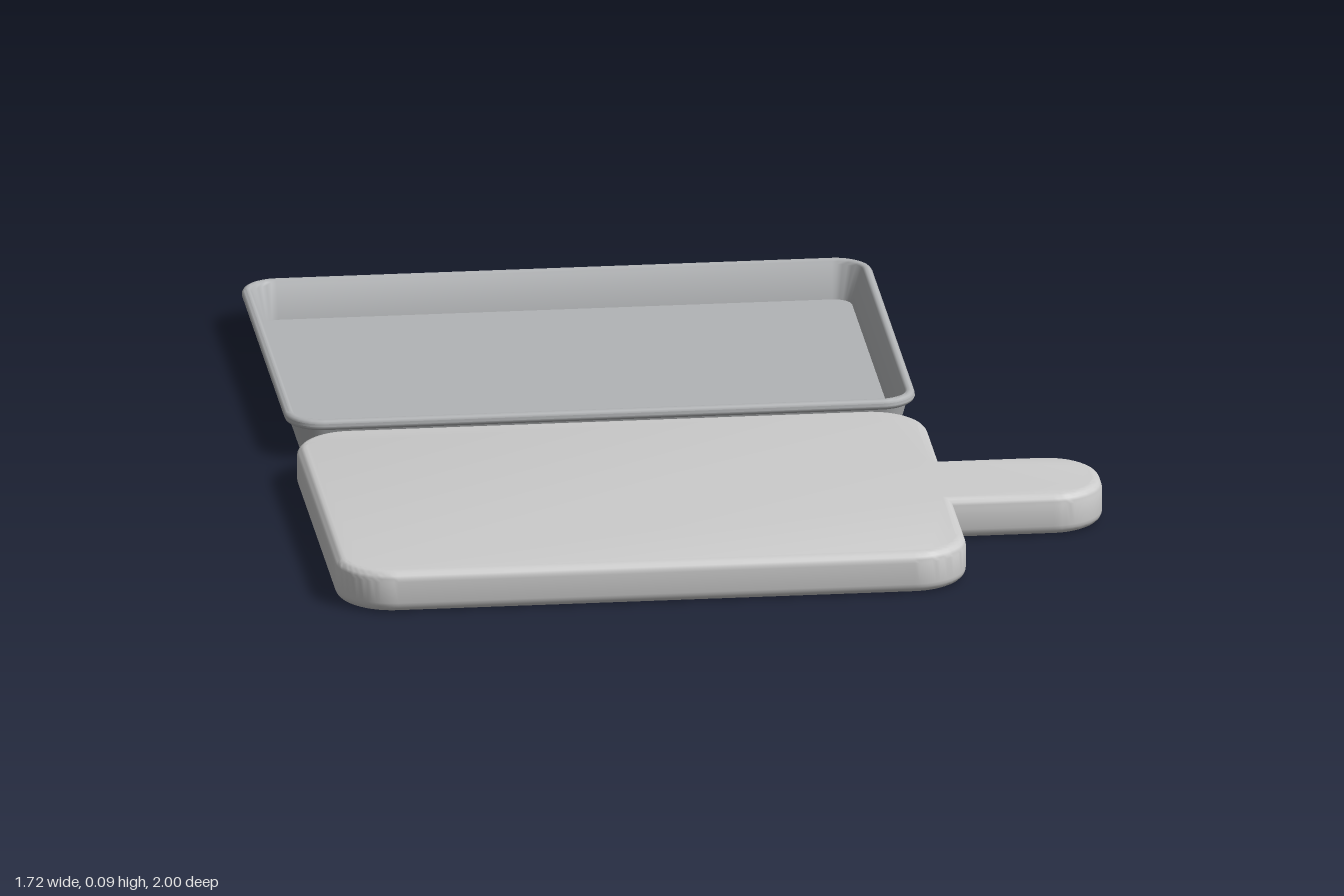
import * as THREE from 'three';
import { toCreasedNormals } from 'three/addons/utils/BufferGeometryUtils.js';

// Lofts rounded-rectangle rings; profile entries are [inset, y], closed by a centre point at each end
function loftRoundedRect(halfX, halfZ, radius, profile, arcSteps = 8) {
  const rings = profile.map(([inset, y]) => {
    const r = radius - inset * 0.9;
    const ring = [];
    [[1, 1], [-1, 1], [-1, -1], [1, -1]].forEach(([sx, sz], q) => {
      for (let k = 0; k <= arcSteps; k++) {
        const a = (q + k / arcSteps) * Math.PI / 2;
        ring.push([
          sx * (halfX - inset - r) + r * Math.cos(a), y,
          sz * (halfZ - inset - r) + r * Math.sin(a)
        ]);
      }
    });
    return ring;
  });
  const n = rings[0].length;
  const last = rings.length - 1;
  const bottom = [0, profile[0][1], 0];
  const top = [0, profile[last][1], 0];
  const pos = [];
  const tri = (a, b, c) => pos.push(...a, ...b, ...c);
  for (let j = 0; j < n; j++) {
    const m = (j + 1) % n;
    tri(bottom, rings[0][j], rings[0][m]);
    for (let i = 0; i < last; i++) {
      tri(rings[i][j], rings[i + 1][j], rings[i][m]);
      tri(rings[i + 1][j], rings[i + 1][m], rings[i][m]);
    }
    tri(rings[last][j], top, rings[last][m]);
  }
  const geometry = new THREE.BufferGeometry();
  geometry.setAttribute('position', new THREE.Float32BufferAttribute(pos, 3));
  return toCreasedNormals(geometry, 0.75);
}

// Board outline in plan (x, z) with its handle on the +x side
function boardShape() {
  const x0 = -0.86, x1 = 0.522, z0 = 0.022, z1 = 1, r = 0.125;
  const h0 = 0.372, h1 = 0.646, hx = 0.86, hr = 0.118;
  const s = new THREE.Shape();
  s.moveTo(x0 + r, z0);
  s.absarc(x1 - r, z0 + r, r, -Math.PI / 2, 0);
  s.lineTo(x1, h0);
  s.absarc(hx - hr, h0 + hr, hr, -Math.PI / 2, 0);
  s.absarc(hx - hr, h1 - hr, hr, 0, Math.PI / 2);
  s.lineTo(x1, h1);
  s.absarc(x1 - r, z1 - r, r, 0, Math.PI / 2);
  s.absarc(x0 + r, z1 - r, r, Math.PI / 2, Math.PI);
  s.absarc(x0 + r, z0 + r, r, Math.PI, Math.PI * 1.5);
  return s;
}

export function createModel() {
  const boardMaterial = new THREE.MeshStandardMaterial({ color: 0xcccccc });
  boardMaterial.name = 'light grey board';
  const trayMaterial = new THREE.MeshStandardMaterial({ color: 0xb2b4b6 });
  trayMaterial.name = 'grey metal';
  const model = new THREE.Group();
  model.name = 'boardAndTray';

  // Cutting board: slab with softly rounded edges
  const height = 0.092, bevel = 0.022;
  const slab = new THREE.ExtrudeGeometry(boardShape(), {
    depth: height - 2 * bevel, bevelEnabled: true, bevelThickness: bevel,
    bevelSize: bevel, bevelOffset: -bevel, bevelSegments: 5, curveSegments: 10
  });
  slab.rotateX(Math.PI / 2);
  slab.translate(0, height - bevel, 0);
  const board = new THREE.Mesh(toCreasedNormals(slab, 0.75), boardMaterial);
  board.name = 'cuttingBoard';
  model.add(board);

  // Baking tray: flat base, flared wall, rolled rim, then down inside to the floor
  const profile = [[0.036, 0], [0.017, 0.071]];
  for (let k = 0; k <= 8; k++) {
    const a = -1.2 + k / 8 * 4.2;
    profile.push([0.012 - 0.012 * Math.cos(a), 0.082 + 0.012 * Math.sin(a)]);
  }
  profile.push([0.045, 0.01]);
  const tray = new THREE.Mesh(loftRoundedRect(0.691, 0.488, 0.08, profile), trayMaterial);
  tray.name = 'bakingTray';
  tray.position.set(-0.169, 0, -0.512);
  model.add(tray);

  return model;
}
